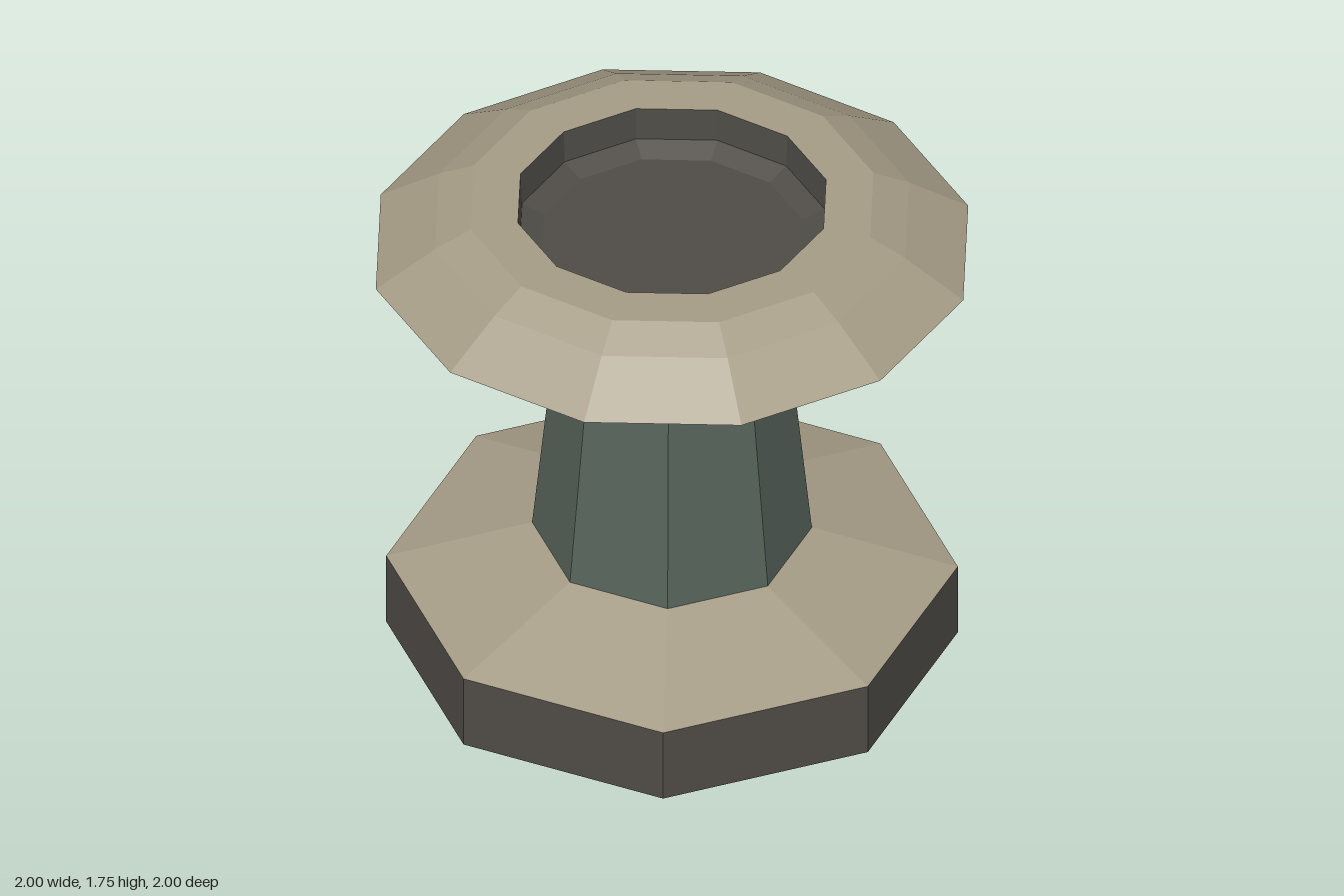
import * as THREE from 'three';

const stone = { color: 0xa59c86 };
const darkStone = { color: 0x4f4c47 };
const slate = { color: 0x56635a };

// Faceted ring of surfaces turned from [radius, height] points, listed bottom to top along the outside
function turned(name, points, sides, look) {
  const geometry = new THREE.LatheGeometry(points.map(([r, y]) => new THREE.Vector2(r, y)), sides);
  const mesh = new THREE.Mesh(geometry, new THREE.MeshStandardMaterial({ ...look, flatShading: true }));
  mesh.name = name;
  return mesh;
}

export function createModel() {
  const model = new THREE.Group();
  model.name = 'pedestalBasin';

  model.add(
    // Octagonal foot: dark plinth with a pale sloping top
    turned('plinth', [[0, 0], [0.94, 0], [0.94, 0.27]], 8, darkStone),
    turned('plinthSlope', [[0.94, 0.27], [0.46, 0.42], [0, 0.42]], 8, stone),

    // Tapered octagonal column
    turned('column', [[0.46, 0.42], [0.355, 1.465]], 8, slate),

    // Twelve-sided basin with a wide flared rim
    turned('basin', [[0, 1.465], [0.65, 1.465], [1, 1.56], [0.8, 1.69], [0.68, 1.75], [0.52, 1.75]], 12, stone),

    // Shallow dark hollow inside the rim
    turned('basinHollow', [[0.52, 1.75], [0.515, 1.63], [0.44, 1.6], [0, 1.6]], 12, darkStone),
  );
  return model;
}
